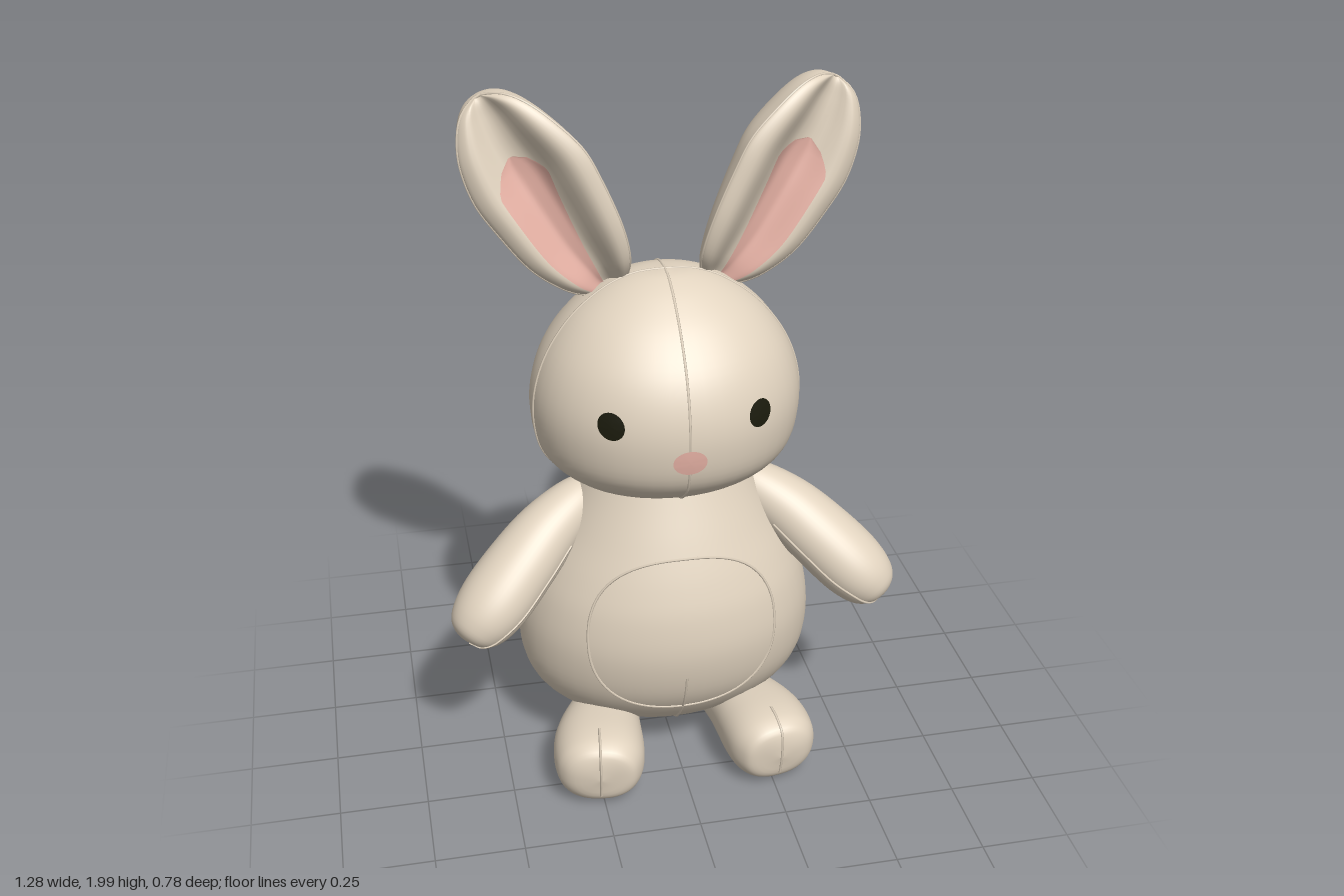
import * as THREE from 'three';

const N = 48; // points around each ring
const V3 = (x, y, z) => new THREE.Vector3(x, y, z);
const mat = (name, color, extra = {}) => Object.assign(new THREE.MeshStandardMaterial({ color, ...extra }), { name });

// Surface through rows of points; wrap closes each row into a ring
function grid(rows, wrap = true) {
  const n = rows[0].length, idx = [];
  for (let i = 0; i < rows.length - 1; i++)
    for (let j = 0; j < (wrap ? n : n - 1); j++) {
      const k = (j + 1) % n, a = i * n + j, b = i * n + k, c = a + n, d = b + n;
      idx.push(a, c, b, b, c, d);
    }
  const g = new THREE.BufferGeometry().setFromPoints(rows.flat());
  g.setIndex(idx);
  g.computeVertexNormals();
  return g;
}
const ring = (fn) => Array.from({ length: N }, (_, j) => fn((j / N) * Math.PI * 2));
const power = (v, e) => Math.sign(v) * Math.abs(v) ** e;

// Smoothly interpolates a list of number tuples
function smooth(list) {
  const curves = list[0].map((_, k) =>
    new THREE.CatmullRomCurve3(list.map((r) => V3(r[k], 0, 0)), false, 'catmullrom', 0.5));
  return (t) => curves.map((c) => c.getPoint(t).x);
}

// Upright volume from sections [y, half width, front z, back z]
function upright(list) {
  const f = smooth(list), M = 48;
  const secs = Array.from({ length: M + 1 }, (_, i) => f(i / M));
  const rows = secs.map(([y, w, zf, zb]) =>
    ring((a) => V3(Math.max(w, 0.001) * Math.cos(a), y, (zf + zb) / 2 + ((zf - zb) / 2) * Math.sin(a))));
  // Front surface point above a given x, y
  const front = (x, y, lift = 0) => {
    let i = 0;
    while (i < M - 1 && secs[i + 1][0] < y) i++;
    const k = (y - secs[i][0]) / (secs[i + 1][0] - secs[i][0]);
    const [, w, zf, zb] = secs[i].map((v, q) => v + (secs[i + 1][q] - v) * k);
    return V3(x, y, (zf + zb) / 2 + ((zf - zb) / 2) * Math.sqrt(Math.max(0, 1 - (x / w) ** 2)) + lift);
  };
  return { rows, front };
}

// Limb along a path of [x, y, z, half width, half height]; e below 1 makes it boxier
function limb(list, e = 1) {
  const f = smooth(list), M = 36;
  const path = new THREE.CatmullRomCurve3(list.map((p) => V3(p[0], p[1], p[2])), false, 'catmullrom', 0.5);
  return Array.from({ length: M + 1 }, (_, i) => {
    const [x, y, z, a, b] = f(i / M), T = path.getTangent(i / M);
    const U = T.clone().cross(V3(0, 1, 0)).normalize(), V = U.clone().cross(T);
    return ring((q) => V3(x, y, z)
      .addScaledVector(U, Math.max(a, 0.001) * power(Math.cos(q), e))
      .addScaledVector(V, Math.max(b, 0.001) * power(Math.sin(q), e)));
  });
}

const seamTube = (pts, closed = false) =>
  new THREE.TubeGeometry(new THREE.CatmullRomCurve3(pts, closed), 80, 0.004, 5, closed);
const column = (rows, j, from = 1, to = rows.length - 1) => rows.slice(from, to).map((r) => r[j]);

// Thin oval laid on a front surface
const oval = (front, cx, cy, rx, ry) => grid([0.001, 0.35, 0.7, 1].map((k) =>
  ring((a) => front(cx + rx * k * Math.cos(a), cy + ry * k * Math.sin(a), 0.004))));

function mirrored(geo) {
  const g = geo.clone().scale(-1, 1, 1), ix = g.index.array;
  for (let i = 0; i < ix.length; i += 3) [ix[i], ix[i + 1]] = [ix[i + 1], ix[i]];
  g.computeVertexNormals();
  return g;
}

export function createModel() {
  const model = new THREE.Group();
  model.name = 'plushRabbit';
  const fur = mat('beigeFabric', 0xe1d3bf);
  const pink = mat('pinkFabric', 0xe8b3a6, { side: THREE.DoubleSide });
  const dark = mat('eyeBlack', 0x1a1a0c);
  const add = (name, geo, m) => {
    const mesh = new THREE.Mesh(geo, m);
    mesh.name = name;
    model.add(mesh);
  };
  const pair = (name, geo, m) => {
    add('left' + name, geo, m);
    add('right' + name, mirrored(geo), m);
  };

  // Body
  const body = upright([
    [0.08, 0, -0.04, -0.06], [0.087, 0.12, 0.06, -0.14], [0.125, 0.26, 0.15, -0.22], [0.2, 0.37, 0.225, -0.297],
    [0.3, 0.423, 0.285, -0.36], [0.43, 0.432, 0.315, -0.385], [0.55, 0.41, 0.31, -0.373], [0.65, 0.37, 0.285, -0.345],
    [0.76, 0.31, 0.245, -0.3], [0.87, 0.257, 0.2, -0.255], [0.97, 0.22, 0.16, -0.22]]);
  add('body', grid(body.rows), fur);
  const bellyRim = Array.from({ length: 48 }, (_, i) => {
    const a = (i / 48) * Math.PI * 2;
    return body.front(0.27 * power(Math.cos(a), 0.88), 0.49 + 0.25 * power(Math.sin(a), 0.88));
  });
  add('bellySeam', seamTube(bellyRim, true), fur);
  add('bodyFrontSeam', seamTube(column(body.rows, N / 4, 3, 23)), fur);
  add('bodyBackSeam', seamTube(column(body.rows, (3 * N) / 4, 3, 23)), fur);

  // Head
  const head = upright([
    [0.89, 0, -0.02, -0.04], [0.895, 0.23, 0.15, -0.22], [0.93, 0.3, 0.235, -0.3], [1.0, 0.355, 0.305, -0.345],
    [1.1, 0.376, 0.328, -0.357], [1.2, 0.368, 0.32, -0.343], [1.3, 0.33, 0.28, -0.307], [1.39, 0.262, 0.205, -0.24],
    [1.455, 0.175, 0.12, -0.165], [1.49, 0.09, 0.05, -0.09], [1.5, 0, 0, -0.02]]);
  add('head', grid(head.rows), fur);
  const loop = (a, b) => seamTube([...column(head.rows, a, 3), ...column(head.rows, b, 3).reverse()]);
  add('headCentreSeam', loop(N / 4, (3 * N) / 4), fur);
  add('headSideSeam', loop(1, N / 2 - 1), fur);

  // Face
  pair('Eye', oval(head.front, 0.2, 1.185, 0.033, 0.037), dark);
  add('nose', oval(head.front, 0, 1.085, 0.046, 0.036), pink);

  // Arms
  const arm = limb([
    [0.19, 0.84, -0.03, 0.04, 0.04], [0.25, 0.815, -0.005, 0.07, 0.07], [0.35, 0.75, 0.045, 0.092, 0.09],
    [0.44, 0.672, 0.098, 0.104, 0.098], [0.52, 0.595, 0.145, 0.105, 0.098], [0.572, 0.542, 0.17, 0.087, 0.082],
    [0.597, 0.514, 0.182, 0.055, 0.05], [0.605, 0.504, 0.186, 0, 0]]);
  pair('Arm', grid(arm), fur);
  pair('ArmSeam', seamTube(column(arm, N - 2, 10)), fur);

  // Feet
  const foot = limb([
    [0.135, 0.105, -0.09, 0, 0], [0.14, 0.105, -0.07, 0.055, 0.04], [0.17, 0.107, 0.01, 0.085, 0.068],
    [0.215, 0.114, 0.12, 0.112, 0.096], [0.243, 0.116, 0.22, 0.13, 0.107], [0.254, 0.116, 0.3, 0.129, 0.109],
    [0.26, 0.115, 0.35, 0.113, 0.099], [0.264, 0.113, 0.378, 0.08, 0.07], [0.265, 0.112, 0.388, 0, 0]], 0.87);
  pair('Foot', grid(foot), fur);
  pair('ToeSeam', seamTube([...column(foot, N / 4, 22), ...column(foot, (3 * N) / 4, 32).reverse()]), fur);

  // Ears: [distance along axis, offset across, half width, rim z, back depth]
  const earAt = smooth([
    [1.32, -0.55, 0, -0.06, 0], [1.36, -0.55, 0.06, -0.03, 0.07], [1.42, -0.545, 0.1, 0, 0.115],
    [1.52, -0.535, 0.135, 0.014, 0.158], [1.65, -0.53, 0.153, 0.014, 0.195], [1.75, -0.526, 0.157, 0.008, 0.212],
    [1.85, -0.52, 0.132, -0.004, 0.2], [1.92, -0.52, 0.096, -0.022, 0.16], [1.96, -0.52, 0.055, -0.042, 0.095],
    [1.975, -0.52, 0, -0.075, 0]]);
  const earPoint = (t, p, back, lift = 0) => {
    let [s, q, w, zr, d] = earAt(t);
    w = Math.max(w, 0.001);
    q += w * p;
    const hollow = (0.085 * THREE.MathUtils.smoothstep(Math.abs(p), 0.1, 0.8) - 0.05) * (w / 0.157);
    const round = Math.sqrt(Math.max(0, 1 - p * p));
    const z = zr - 0.19 * w * p + (back ? -d * round ** 0.8 : hollow * round) + lift;
    return V3(0.47 * s + 0.88 * q, 0.88 * s - 0.47 * q, z);
  };
  const ear = Array.from({ length: 55 }, (_, i) =>
    ring((a) => earPoint(i / 54, Math.cos(a), Math.sin(a) < 0)));
  pair('Ear', grid(ear), fur);
  pair('EarSeam', seamTube([...column(ear, 0, 3), ...column(ear, N / 2, 3).reverse()]), fur);

  // Pink inner ear lining, narrow and outward at the base
  const lining = Array.from({ length: 25 }, (_, i) => {
    const k = i / 24, t = 0.13 + 0.48 * k;
    const half = (0.3 + 0.18 * k) * Math.sqrt(Math.min(1, (1.001 - k) / 0.15));
    return Array.from({ length: 17 }, (_, j) => earPoint(t, 0.34 - 0.25 * k + half * (1 - j / 8), false, 0.006));
  });
  pair('EarLining', grid(lining, false), pink);

  return model;
}
